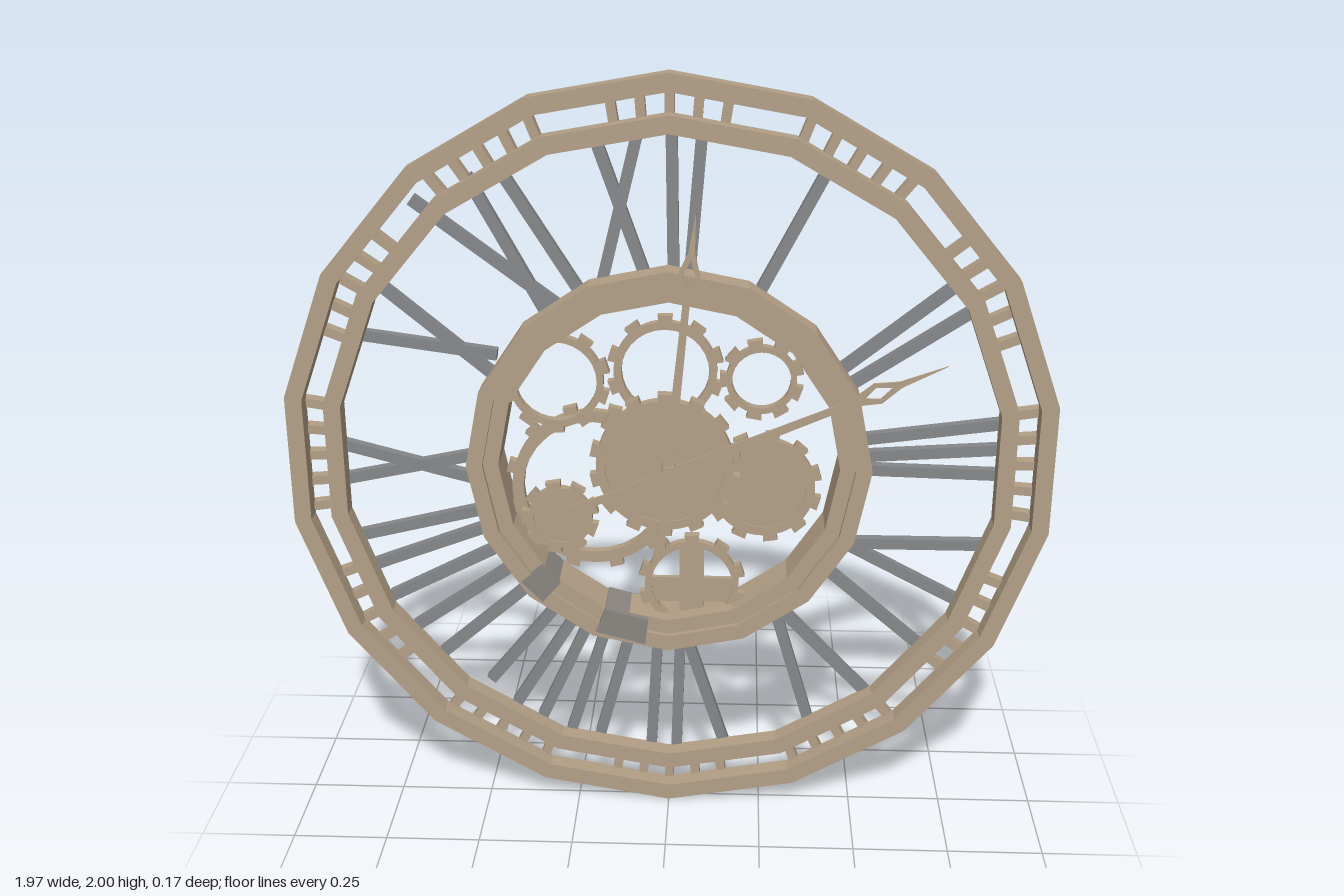
import * as THREE from 'three';

const bronze = new THREE.MeshStandardMaterial({ color: 0xb39f86 });
bronze.name = 'bronze';
const steel = new THREE.MeshStandardMaterial({ color: 0x85878a });
steel.name = 'steel';
const tarnish = new THREE.MeshStandardMaterial({ color: 0x8a8580 });
tarnish.name = 'tarnish';

const polar = (r, a) => new THREE.Vector2(r * Math.cos(a), r * Math.sin(a));
const polygon = (r, n, start = Math.PI / 2) =>
  Array.from({ length: n }, (_, i) => polar(r, start + (i / n) * Math.PI * 2));

// Extrude an outline (with optional holes) between two z planes
function plate(name, outline, holes, z0, z1, material = bronze) {
  const shape = new THREE.Shape(outline);
  holes.forEach(h => shape.holes.push(new THREE.Path(h)));
  const geo = new THREE.ExtrudeGeometry(shape, { depth: z1 - z0, bevelEnabled: false });
  geo.translate(0, 0, z0);
  const mesh = new THREE.Mesh(geo, material);
  mesh.name = name;
  return mesh;
}

const ring = (name, n, outer, inner, z0, z1) =>
  plate(name, polygon(outer, n), [polygon(inner, n)], z0, z1);

// Straight bar between two points on the dial
function bar(name, x0, y0, x1, y1, width, z0, z1, material) {
  const mesh = new THREE.Mesh(
    new THREE.BoxGeometry(Math.hypot(x1 - x0, y1 - y0), width, z1 - z0), material);
  mesh.position.set((x0 + x1) / 2, (y0 + y1) / 2, (z0 + z1) / 2);
  mesh.rotation.z = Math.atan2(y1 - y0, x1 - x0);
  mesh.name = name;
  return mesh;
}

// Toothed wheel: root radius r, square teeth, inner = 0 for a solid wheel
function gear(name, x, y, r, inner, teeth, z0, z1) {
  const pts = [];
  const tip = r + 0.018, half = 0.017 / r;
  for (let i = 0; i < teeth; i++) {
    const a = ((i + 0.5) / teeth) * Math.PI * 2, step = (Math.PI * 2) / teeth;
    pts.push(polar(r, a - half), polar(tip, a - half), polar(tip, a + half), polar(r, a + half));
    for (let k = 1; k < 3; k++) pts.push(polar(r, a + half + (step - 2 * half) * k / 3));
  }
  const mesh = plate(name, pts, inner ? [polygon(inner, 28)] : [], z0, z1);
  mesh.position.set(x, y, 0);
  return mesh;
}

function disc(name, x, y, r, z0, z1) {
  const mesh = plate(name, polygon(r, 28), [], z0, z1);
  mesh.position.set(x, y, 0);
  return mesh;
}

// Clock hand along +y with a pierced spade below its tip
function hand(name, length, tail, spade, z, angle) {
  const right = [[0.016, -tail], [0.008, -tail * 0.6], [0.013, 0], [0.009, spade - 0.07],
    [0.014, spade - 0.05], [0.028, spade], [0.008, spade + 0.06]];
  const outline = [...right, [0, length], ...right.map(([x, y]) => [-x, y]).reverse()]
    .map(p => new THREE.Vector2(...p));
  const hole = [[0, spade - 0.035], [0.016, spade], [0, spade + 0.04], [-0.016, spade]]
    .map(p => new THREE.Vector2(...p));
  const group = new THREE.Group();
  group.name = name;
  group.add(plate(name + 'Blade', outline, [hole], z - 0.003, z + 0.003));
  group.rotation.z = angle;
  return group;
}

export function createModel() {
  const model = new THREE.Group();
  model.name = 'skeletonWallClock';
  const dial = new THREE.Group();
  dial.name = 'dial';
  dial.position.y = 1;
  model.add(dial);

  // Rim and hub rings
  dial.add(
    ring('outerRim', 18, 1, 0.955, -0.02, 0.03),
    ring('innerRim', 18, 0.9, 0.855, -0.02, 0.03),
    ring('hubRingFront', 16, 0.522, 0.48, -0.02, 0.05),
    ring('hubRingBack', 16, 0.485, 0.44, -0.083, 0.035));

  // Two darker patches on the hub ring
  for (const [a0, a1] of [[220, 229], [247.5, 263]]) {
    const [p, q] = [a0, a1].map(d => d * Math.PI / 180);
    dial.add(plate('tarnishedPatch',
      [polar(0.436, p), polar(0.508, p), polar(0.508, q), polar(0.436, q)], [],
      -0.085, 0.052, tarnish));
  }

  // Minute ticks, five around each hour
  const ticks = new THREE.Group();
  ticks.name = 'minuteTicks';
  for (let h = 0; h < 12; h++) {
    for (let k = -2; k <= 2; k++) {
      const a = (h * 30 + k * 4.4) * Math.PI / 180;
      const p = polar(0.87, a), q = polar(0.965, a);
      ticks.add(bar('tick', p.x, p.y, q.x, q.y, 0.024, -0.045, -0.012, bronze));
    }
  }
  dial.add(ticks);

  // Numeral strokes, grouped by hour: inner point then outer point
  const strokes = {
    1: [[0.23, 0.46, 0.38, 0.75]],
    2: [[0.41, 0.23, 0.72, 0.48], [0.43, 0.19, 0.76, 0.41]],
    3: [[0.48, 0.06, 0.85, 0.11], [0.48, 0.015, 0.85, 0.04], [0.48, -0.02, 0.85, -0.03]],
    4: [[0.42, -0.31, 0.71, -0.56], [0.46, -0.23, 0.78, -0.40], [0.46, -0.23, 0.85, -0.23]],
    5: [[0.28, -0.42, 0.38, -0.76], [0.29, -0.42, 0.54, -0.68]],
    6: [[-0.10, -0.49, -0.19, -0.82], [-0.03, -0.50, -0.05, -0.86],
      [0.03, -0.50, 0.02, -0.86], [0.04, -0.50, 0.15, -0.84]],
    7: [[-0.27, -0.39, -0.49, -0.66], [-0.23, -0.42, -0.42, -0.73],
      [-0.20, -0.44, -0.35, -0.77], [-0.16, -0.46, -0.27, -0.81]],
    8: [[-0.45, -0.14, -0.82, -0.23], [-0.43, -0.18, -0.80, -0.32],
      [-0.40, -0.23, -0.75, -0.41], [-0.37, -0.28, -0.69, -0.50], [-0.33, -0.33, -0.62, -0.58]],
    9: [[-0.48, -0.07, -0.86, 0.03], [-0.48, 0.01, -0.86, -0.07]],
    10: [[-0.44, 0.28, -0.80, 0.33], [-0.42, 0.20, -0.73, 0.46]],
    11: [[-0.28, 0.41, -0.64, 0.68], [-0.31, 0.39, -0.50, 0.74], [-0.22, 0.44, -0.42, 0.76]],
    12: [[-0.06, 0.49, -0.18, 0.83], [-0.17, 0.47, -0.08, 0.84],
      [0.01, 0.50, 0.005, 0.87], [0.05, 0.49, 0.08, 0.86]],
  };
  for (const [hour, lines] of Object.entries(strokes)) {
    const numeral = new THREE.Group();
    numeral.name = 'hourMark' + hour;
    lines.forEach(l => numeral.add(bar('stroke', ...l, 0.029, -0.042, -0.016, steel)));
    dial.add(numeral);
  }

  // Gear train
  const train = new THREE.Group();
  train.name = 'gearTrain';
  train.add(
    gear('centreGear', -0.01, 0, 0.178, 0.155, 14, 0, 0.03),
    disc('centreGearWeb', -0.01, 0, 0.158, 0.005, 0.025),
    gear('topGear', -0.01, 0.245, 0.132, 0.112, 10, -0.03, -0.005),
    gear('upperLeftGear', -0.29, 0.215, 0.122, 0.105, 10, -0.03, -0.005),
    gear('upperRightGear', 0.235, 0.225, 0.09, 0.075, 9, -0.03, -0.005),
    gear('rightGear', 0.245, -0.07, 0.135, 0.112, 11, -0.03, -0.005),
    disc('rightGearWeb', 0.245, -0.07, 0.113, -0.025, -0.01),
    gear('largeLeftGear', -0.2, -0.09, 0.215, 0.185, 12, -0.06, -0.035),
    gear('lowerLeftGear', -0.288, -0.165, 0.085, 0.07, 9, -0.03, -0.005),
    disc('lowerLeftGearWeb', -0.288, -0.165, 0.072, -0.025, -0.01),
    gear('bottomGear', 0.06, -0.352, 0.125, 0.108, 10, -0.03, -0.005),
    bar('bottomGearSpoke', 0.06, -0.24, 0.06, -0.46, 0.065, -0.026, -0.01, bronze),
    bar('bottomGearCrossbar', -0.055, -0.37, 0.175, -0.37, 0.07, -0.025, -0.011, bronze));
  dial.add(train);

  // Hands and centre pin
  dial.add(
    hand('minuteHand', 0.685, 0.235, 0.52, 0.07, -0.1),
    hand('hourHand', 0.755, 0.275, 0.57, 0.079, -1.165));
  const pin = new THREE.Mesh(new THREE.CylinderGeometry(0.018, 0.018, 0.07, 16), bronze);
  pin.rotation.x = Math.PI / 2;
  pin.position.z = 0.049;
  pin.name = 'centrePin';
  dial.add(pin);

  return model;
}
